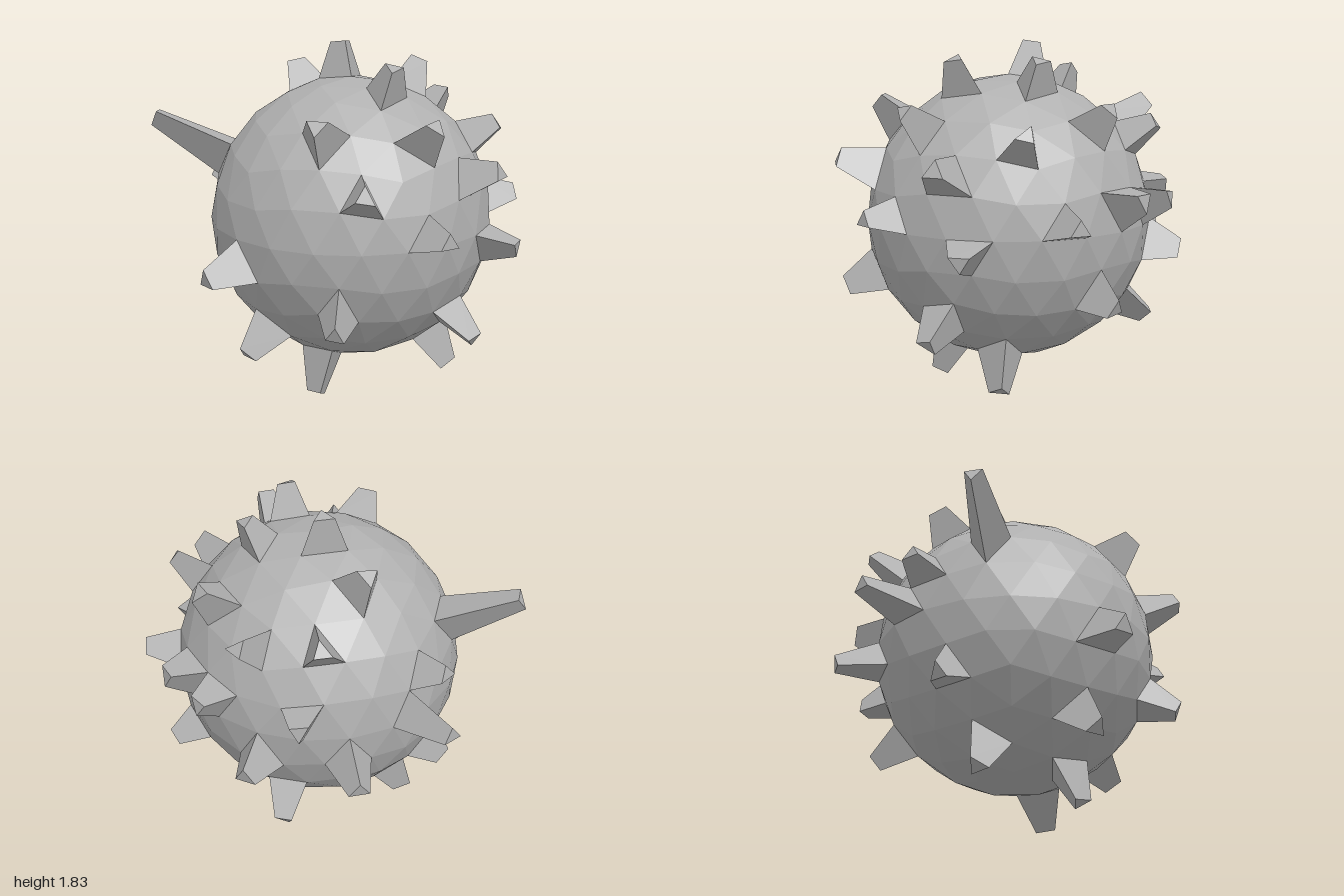
import * as THREE from 'three';

const CENTRE = new THREE.Vector3(0.075, 0.91, 0.025);
const RADIUS = 0.75;
const TIP_SCALE = 0.45;

// Spike tips, measured from the centre of the ball
const TIPS = [
  // front
  [0, 0.33, 0.9], [0.4, 0.13, 0.82], [-0.14, -0.33, 0.87], [-0.225, 0.62, 0.645],
  [0.355, 0.59, 0.625], [-0.765, -0.17, 0.555], [-0.555, -0.64, 0.425], [0.6, -0.53, 0.53],
  // underside
  [-0.48, -0.8, -0.16], [-0.2, -0.89, 0.33], [0.515, -0.81, 0.15],
  // left side
  [0.715, 0.35, 0.505], [0.835, -0.08, 0.4], [0.77, -0.34, -0.33], [0.915, 0.07, -0.115],
  [0.775, 0.49, 0.11], [0.56, 0.62, -0.35], [0.745, 0.19, -0.475], [0.53, 0.2, -0.705],
  // top
  [-0.275, 0.76, -0.435], [-0.02, 0.92, -0.12], [0.18, 0.84, 0.33], [0.345, 0.84, -0.09],
  // back
  [-0.285, -0.11, -0.935], [0.325, 0.49, -0.72], [0, 0.17, -0.87], [0.3, -0.06, -0.87],
  [-0.1, 0.59, -0.795], [0.03, -0.57, -0.75],
  // right side
  [-1.055, 0.49, -0.18], [-0.735, 0.12, -0.735], [-0.65, 0.33, -0.53], [-0.7, -0.37, -0.38],
];

// Unit ball of triangles with a corner at each pole, split twice
function ballFaces() {
  const ring = (y, turn) => Array.from({ length: 5 }, (_, i) => {
    const a = (i + turn) * Math.PI * 0.4;
    return new THREE.Vector3(0.8944 * Math.cos(a), y, 0.8944 * Math.sin(a));
  });
  const up = ring(0.4472, 0), low = ring(-0.4472, 0.5);
  const top = new THREE.Vector3(0, 1, 0), bottom = new THREE.Vector3(0, -1, 0);
  let faces = [];
  for (let i = 0; i < 5; i++) {
    const j = (i + 1) % 5;
    faces.push([top, up[j], up[i]], [up[i], up[j], low[i]],
      [up[j], low[j], low[i]], [low[i], low[j], bottom]);
  }
  const mid = (a, b) => a.clone().add(b).normalize();
  for (let n = 0; n < 2; n++) {
    faces = faces.flatMap(([a, b, c]) => {
      const ab = mid(a, b), bc = mid(b, c), ca = mid(c, a);
      return [[a, ab, ca], [ab, b, bc], [ca, bc, c], [ab, bc, ca]];
    });
  }
  return faces.map((f) => f.map((p) => p.clone().multiplyScalar(RADIUS)));
}

function centroid([a, b, c]) {
  return a.clone().add(b).add(c).divideScalar(3);
}

// Mesh from triangles, each turned to face away from a point inside
function meshFrom(triangles, inside, material, name) {
  const points = triangles.flatMap((t) => {
    const [a, b, c] = t;
    const normal = b.clone().sub(a).cross(c.clone().sub(a));
    return normal.dot(centroid(t).sub(inside)) < 0 ? [a, c, b] : t;
  });
  const geometry = new THREE.BufferGeometry().setFromPoints(points);
  geometry.computeVertexNormals();
  const mesh = new THREE.Mesh(geometry, material);
  mesh.name = name;
  return mesh;
}

export function createModel() {
  const model = new THREE.Group();
  model.name = 'spikedBall';
  const grey = new THREE.MeshStandardMaterial({ color: 0xb0b0b0, flatShading: true });
  grey.name = 'stone grey';

  const body = new THREE.Group();
  body.position.copy(CENTRE);
  model.add(body);

  // Ball
  const faces = ballFaces();
  body.add(meshFrom(faces, new THREE.Vector3(), grey, 'ball'));

  // Spikes: the nearest free face drawn outward and narrowed
  const used = new Set();
  for (const tip of TIPS) {
    const target = new THREE.Vector3(...tip);
    let best = -1, nearest = Infinity;
    faces.forEach((f, i) => {
      const d = centroid(f).angleTo(target);
      if (!used.has(i) && d < nearest) { nearest = d; best = i; }
    });
    used.add(best);
    const base = faces[best];
    const mid = centroid(base);
    const end = mid.clone().setLength(target.length());
    const cap = base.map((p) => p.clone().sub(mid).multiplyScalar(TIP_SCALE).add(end));
    const triangles = [cap];
    for (let i = 0; i < 3; i++) {
      const j = (i + 1) % 3;
      triangles.push([base[i], base[j], cap[j]], [base[i], cap[j], cap[i]]);
    }
    body.add(meshFrom(triangles, mid.clone().lerp(end, 0.4), grey, 'spike'));
  }
  return model;
}
